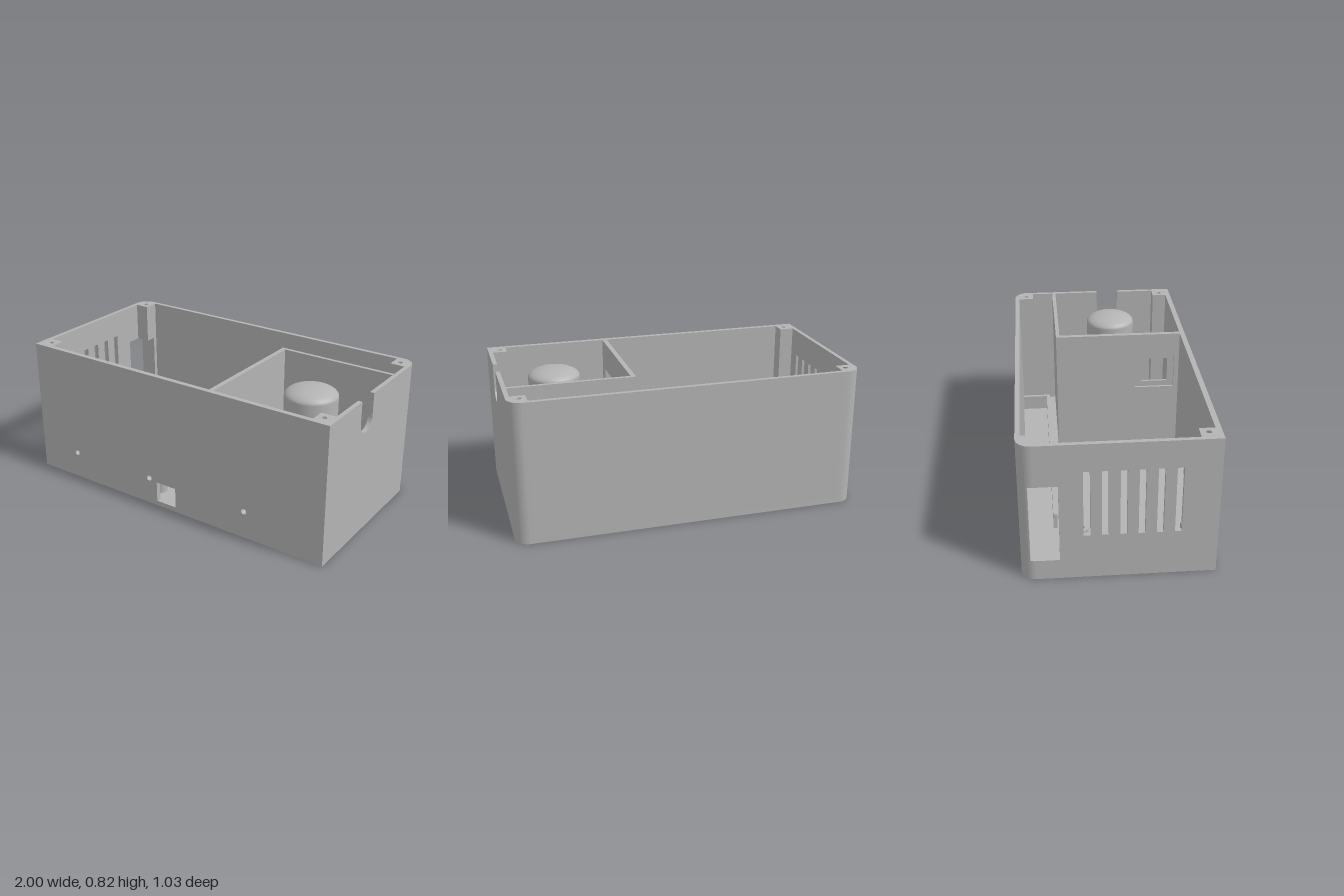
import * as THREE from 'three';
import { toCreasedNormals } from 'three/addons/utils/BufferGeometryUtils.js';

const H = 0.82, FLOOR = 0.03, BACK = -0.52, FRONT = 0.515, R = 0.08;

export function createModel() {
  const group = new THREE.Group();
  const grey = new THREE.MeshStandardMaterial({ color: 0xb3b3b3 });
  grey.name = 'light grey plastic';

  const add = (name, geo) => {
    const m = new THREE.Mesh(geo, grey);
    m.name = name;
    group.add(m);
    return m;
  };
  const poly = (pts) => new THREE.Shape(pts.map(([x, y]) => new THREE.Vector2(x, y)));
  const circle = (x, y, r) => new THREE.Path().absarc(x, y, r, 0, Math.PI * 2, true);
  const rect = (x0, x1, y0, y1) =>
    new THREE.Path([[x0, y0], [x0, y1], [x1, y1], [x1, y0]].map(([x, y]) => new THREE.Vector2(x, y)));
  const extrude = (shape, depth) =>
    toCreasedNormals(new THREE.ExtrudeGeometry(shape, { depth, bevelEnabled: false, curveSegments: 16 }), 0.6);
  // Plan shape (x, -z) raised from y0 to y1
  const raise = (name, shape, y0, y1) =>
    add(name, extrude(shape, y1 - y0).rotateX(-Math.PI / 2).translate(0, y0, 0));
  // Wall shape (z, y) running from x1 back to x0
  const sideWall = (name, shape, x0, x1) =>
    add(name, extrude(shape, x1 - x0).rotateY(-Math.PI / 2).translate(x1, 0, 0));
  const box = (name, x0, x1, y0, y1, z0, z1) =>
    add(name, new THREE.BoxGeometry(x1 - x0, y1 - y0, z1 - z0)
      .translate((x0 + x1) / 2, (y0 + y1) / 2, (z0 + z1) / 2));

  // Floor, with four round foot recesses underneath
  const floorShape = () => {
    const s = new THREE.Shape();
    s.moveTo(-1, -FRONT);
    s.lineTo(1, -FRONT);
    s.lineTo(1, -BACK - R);
    s.absarc(1 - R, -BACK - R, R, 0, Math.PI / 2, false);
    s.lineTo(-1 + R, -BACK);
    s.absarc(-1 + R, -BACK - R, R, Math.PI / 2, Math.PI, false);
    s.closePath();
    return s;
  };
  const under = floorShape();
  for (const x of [-0.88, 0.88]) for (const z of [-0.4, 0.4]) under.holes.push(circle(x, -z, 0.058));
  raise('floorUnderside', under, 0, 0.012);
  raise('floor', floorShape(), 0.012, FLOOR);

  // Corner posts with screw holes: square at the front, rounded at the back
  const frontPost = (s) => {
    const p = poly([[s * 0.89, -FRONT], [s, -FRONT], [s, -0.4], [s * 0.89, -0.4]]);
    p.holes.push(circle(s * 0.93, -0.445, 0.014));
    return p;
  };
  const backPost = (s) => {
    const p = new THREE.Shape();
    p.moveTo(s * 0.89, 0.405);
    p.lineTo(s, 0.405);
    p.lineTo(s, -BACK - R);
    p.absarc(s * (1 - R), -BACK - R, R, s > 0 ? 0 : Math.PI, Math.PI / 2, s < 0);
    p.lineTo(s * 0.89, -BACK);
    p.closePath();
    p.holes.push(circle(s * 0.93, 0.45, 0.014));
    return p;
  };
  for (const s of [-1, 1]) raise('frontCornerPost', frontPost(s), FLOOR, H);
  raise('backCornerPost', backPost(1), FLOOR, H);

  // The post beside the side opening is cut away at mid height
  const OPEN0 = 0.12, OPEN1 = 0.58, CUT = 0.47;
  raise('backCornerPost', backPost(-1), FLOOR, OPEN0);
  raise('backCornerPost', backPost(-1), OPEN1, H);
  const thin = new THREE.Shape();
  thin.moveTo(-0.89, CUT);
  thin.lineTo(-0.89, -BACK);
  thin.lineTo(-1 + R, -BACK);
  thin.absarc(-1 + R, -BACK - R, R, Math.PI / 2, Math.PI - Math.asin((CUT + BACK + R) / R), false);
  thin.closePath();
  raise('backCornerPost', thin, OPEN0, OPEN1);

  // Back wall
  box('backWall', -0.89, 0.89, FLOOR, H, BACK, -0.495);

  // Front wall with a connector opening and three small holes
  const front = poly([[-0.89, FLOOR], [-0.1, FLOOR], [-0.1, 0.153], [0.035, 0.153], [0.035, FLOOR],
    [0.89, FLOOR], [0.89, H], [-0.89, H]]);
  for (const x of [-0.72, -0.155, 0.505]) front.holes.push(circle(x, 0.165, 0.017));
  add('frontWall', extrude(front, 0.03).translate(0, 0, FRONT - 0.03));

  // Right-hand vent wall with slots and a tall opening near the back
  const vent = poly([[0.4, FLOOR], [0.4, H], [-0.405, H], [-0.405, OPEN1], [-0.315, OPEN1],
    [-0.315, OPEN0], [-0.405, OPEN0], [-0.405, FLOOR]]);
  for (let i = 0; i < 6; i++) {
    const z = -0.19 + i * 0.095;
    vent.holes.push(rect(z, z + 0.036, 0.27, 0.66));
  }
  sideWall('ventWall', vent, -1, -0.975);

  // Opposite wall with a round-bottomed cable notch
  const cable = new THREE.Shape();
  cable.moveTo(-0.405, FLOOR);
  cable.lineTo(0.4, FLOOR);
  cable.lineTo(0.4, H);
  cable.lineTo(0.165, H);
  cable.lineTo(0.165, 0.6885);
  cable.absarc(0.0965, 0.6885, 0.0685, 0, Math.PI, true);
  cable.lineTo(0.028, H);
  cable.lineTo(-0.405, H);
  cable.closePath();
  sideWall('cableWall', cable, 0.975, 1);

  // Inner compartment walls, one with a stepped window
  box('partitionBack', 0.257, 0.975, FLOOR, H, -0.274, -0.252);
  const layer = (z0, z1, y0, y1) => {
    const s = poly([[-0.252, FLOOR], [0.485, FLOOR], [0.485, H], [-0.252, H]]);
    s.holes.push(rect(z0, z1, y0, y1));
    return s;
  };
  sideWall('partitionWindowFrame', layer(0.215, 0.455, 0.46, 0.685), 0.257, 0.271);
  sideWall('partitionWindow', layer(0.255, 0.415, 0.495, 0.65), 0.271, 0.285);

  // Low rail and end stop along the back wall
  box('rail', -0.6, 0.81, FLOOR, 0.125, -0.337, -0.315);
  box('railStop', 0.81, 0.832, FLOOR, 0.125, -0.495, -0.315);

  // Hollow mounting standoffs
  for (const x of [-0.725, -0.16]) for (const z of [-0.185, 0.4]) {
    const ring = new THREE.Shape().absarc(x, -z, 0.037, 0, Math.PI * 2, false);
    ring.holes.push(circle(x, -z, 0.015));
    raise('standoff', ring, FLOOR, 0.12);
  }

  // Domed cylinder in the compartment
  const profile = [new THREE.Vector2(0.15, FLOOR)];
  for (let i = 0; i <= 12; i++) {
    const t = (i / 12) * Math.PI / 2;
    profile.push(new THREE.Vector2(i === 12 ? 0 : 0.15 * Math.cos(t), 0.745 + 0.055 * Math.sin(t)));
  }
  add('domedCylinder', new THREE.LatheGeometry(profile, 48)).position.set(0.66, 0, 0.09);

  return group;
}
